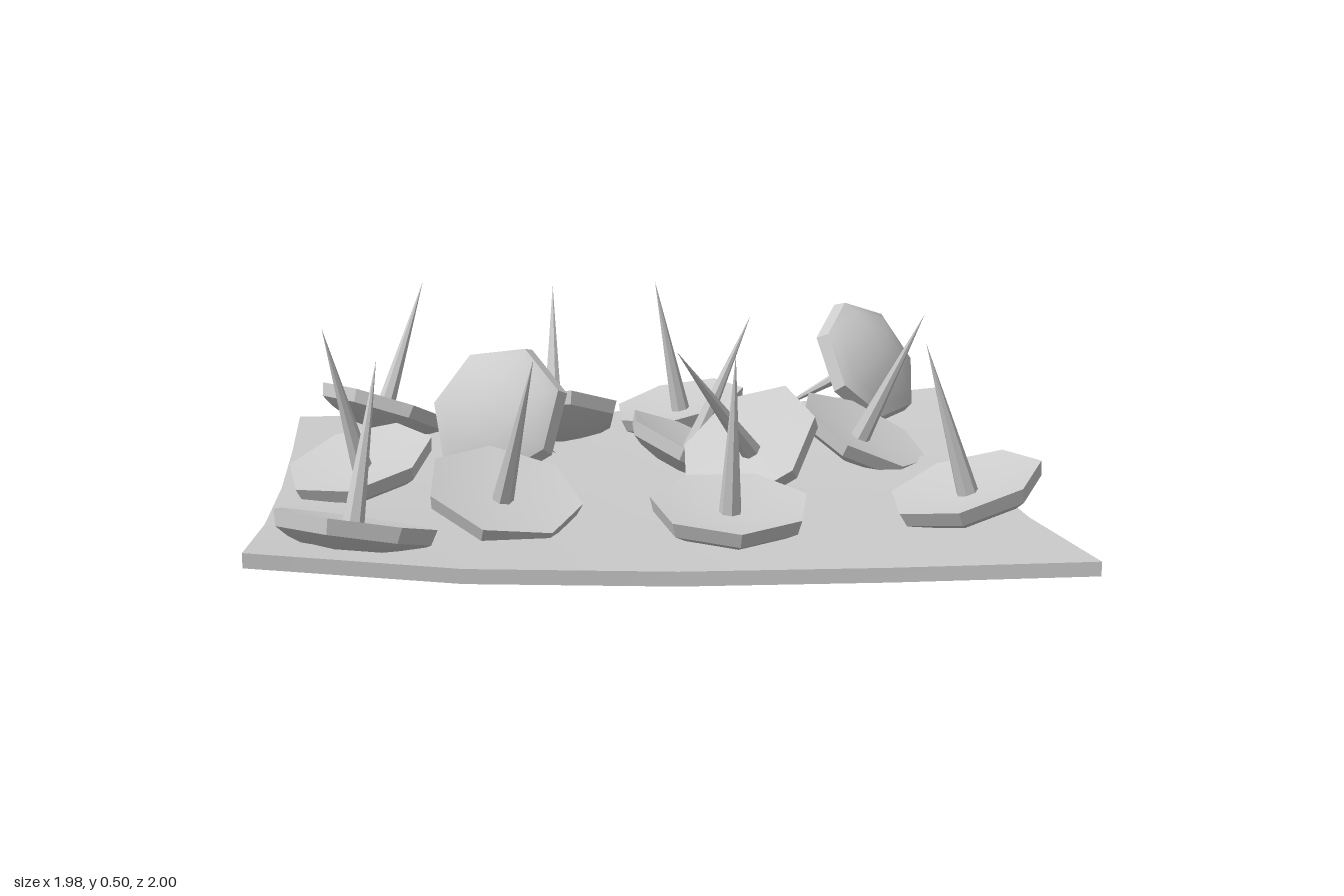
import * as THREE from 'three';
import { toCreasedNormals } from 'three/addons/utils/BufferGeometryUtils.js';

const material = new THREE.MeshStandardMaterial({ color: 0xcccccc });
const UP = new THREE.Vector3(0, 1, 0);

// Thin sheet with bowed edges and two curled opposite corners
function makeSheet() {
  const thickness = 0.035;
  const geometry = new THREE.BoxGeometry(2, thickness, 2, 4, 1, 4);
  const left = [-0.99, -0.98, -0.975, -0.98, -0.99];
  const right = [0.985, 0.93, 0.905, 0.92, 0.97];
  const back = [-0.96, -0.985, -1, -0.985, -0.95];
  const front = [0.995, 0.98, 0.975, 0.975, 0.99];
  const p = geometry.attributes.position;
  for (let i = 0; i < p.count; i++) {
    const x = p.getX(i), z = p.getZ(i);
    const col = Math.round((x + 1) * 2), row = Math.round((z + 1) * 2);
    const lift = 0.075 * ((x - z) / 2) ** 4 + 0.012 * ((x + z) / 2) ** 4;
    p.setXYZ(i,
      THREE.MathUtils.lerp(left[row], right[row], col / 4),
      p.getY(i) + thickness / 2 + lift,
      THREE.MathUtils.lerp(back[col], front[col], row / 4));
  }
  geometry.computeVertexNormals();
  const sheet = new THREE.Mesh(geometry, material);
  sheet.name = 'sheet';
  return sheet;
}

// Tack shape along +y: domed head at the bottom, hollow face, pin pointing up
const SIDES = 7, HOLLOW = 0.06, TIP = 0.465;
const headProfile = [[0, 0], [0.09, 0.01], [0.155, 0.033], [0.188, 0.052], [0.198, 0.09], [0, HOLLOW]]
  .map(([r, y]) => new THREE.Vector2(r, y));
const headGeometry = toCreasedNormals(new THREE.LatheGeometry(headProfile, SIDES), 0.6);
const pinGeometry = toCreasedNormals(
  new THREE.ConeGeometry(0.029, TIP - HOLLOW + 0.01, SIDES, 1, true).translate(0, (TIP + HOLLOW - 0.01) / 2, 0), 0.6);

// Place a tack by its pin: base (x, z), tip (x, y, z), and the bearing of one head corner
function makeTack([baseX, baseZ, tipX, tipY, tipZ, bearing]) {
  const tack = new THREE.Group();
  tack.name = 'tack';
  const head = new THREE.Mesh(headGeometry, material);
  head.name = 'tackHead';
  const pin = new THREE.Mesh(pinGeometry, material);
  pin.name = 'tackPin';
  tack.add(head, pin);

  const dx = tipX - baseX, dz = tipZ - baseZ;
  const rise = Math.sqrt(Math.max(0, (TIP - HOLLOW) ** 2 - dx * dx - dz * dz));
  // A low tip means the tack has rolled over onto its point
  const direction = new THREE.Vector3(dx, tipY < 0.2 ? -rise : rise, dz).normalize();
  const spin = new THREE.Quaternion().setFromAxisAngle(UP, THREE.MathUtils.degToRad(90 - bearing));
  tack.quaternion.setFromUnitVectors(UP, direction).multiply(spin);
  tack.position.set(tipX, tipY, tipZ).addScaledVector(direction, -TIP);
  return tack;
}

export function createModel() {
  const model = new THREE.Group();
  model.name = 'scatteredTacks';
  model.add(makeSheet());
  const tacks = [
    // Lying on their domes, pins up
    [-0.725, -0.705, -0.605, 0.48, -0.805, -88],
    [-0.23, -0.515, -0.222, 0.48, -0.69, -77],
    [0.16, -0.72, 0.08, 0.49, -0.68, 2],
    [0.62, -0.235, 0.78, 0.46, -0.15, -93],
    [0.13, -0.105, 0.29, 0.47, -0.1, -100],
    [-0.76, 0.085, -0.85, 0.49, 0.175, -110],
    [0.25, 0.25, 0.037, 0.46, 0.43, -90],
    [-0.4, 0.5, -0.325, 0.48, 0.64, -101],
    [0.76, 0.515, 0.64, 0.49, 0.55, -98],
    [-0.757, 0.76, -0.695, 0.49, 0.68, -100],
    [0.148, 0.645, 0.15, 0.495, 0.715, 89],
    // Rolled over, resting on rim and point
    [0.728, -0.677, 0.48, 0.05, -0.93, 0],
    [-0.404, -0.032, -0.23, 0.045, -0.35, 0],
  ];
  for (const tack of tacks) model.add(makeTack(tack));
  return model;
}
